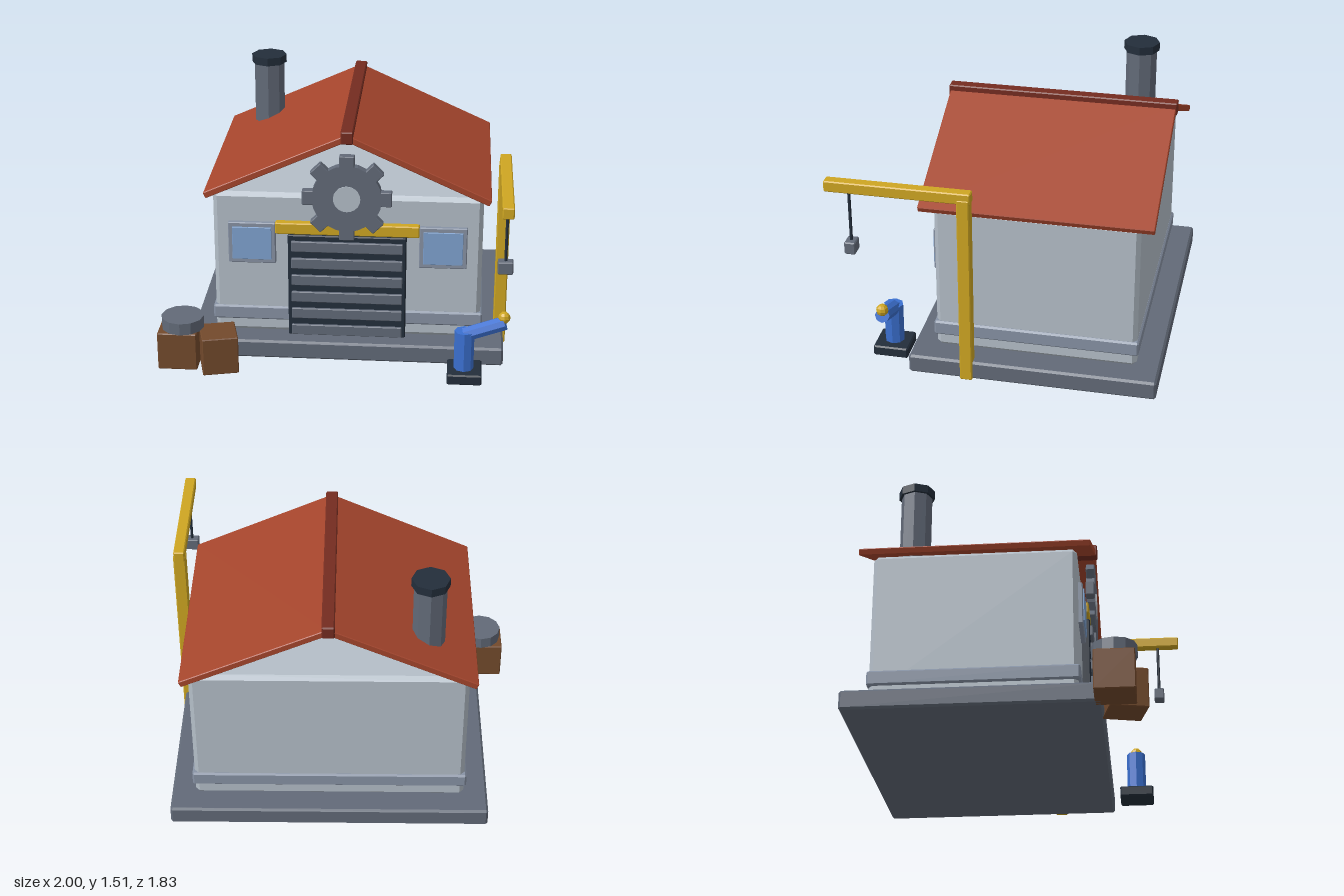
import * as THREE from 'three';
import { ConvexGeometry } from 'three/addons/geometries/ConvexGeometry.js';

const mat = (name, color) => {
  const m = new THREE.MeshStandardMaterial({ color });
  m.name = name;
  return m;
};

// Box with chamfered edges
function chamferBox(w, h, d, c) {
  const pts = [];
  for (const x of [-1, 1]) for (const y of [-1, 1]) for (const z of [-1, 1]) {
    const X = w / 2, Y = h / 2, Z = d / 2;
    pts.push(
      new THREE.Vector3(x * X, y * (Y - c), z * (Z - c)),
      new THREE.Vector3(x * (X - c), y * Y, z * (Z - c)),
      new THREE.Vector3(x * (X - c), y * (Y - c), z * Z));
  }
  return new ConvexGeometry(pts);
}

// Give a geometry faceted normals
function faceted(geo) {
  const g = geo.toNonIndexed();
  g.computeVertexNormals();
  return g;
}

export function createModel() {
  const model = new THREE.Group();
  model.name = 'workshop';

  const steel = mat('steel grey', 0x626a78);
  const wall = mat('pale wall grey', 0xb4bec8);
  const dark = mat('dark navy', 0x232e3b);
  const red = mat('roof red', 0xa5452c);
  const ridgeRed = mat('ridge dark red', 0x742c20);
  const yellow = mat('safety yellow', 0xcea622);
  const glass = mat('window blue', 0x7ea2d0);
  const trim = mat('slate trim', 0x8792a4);
  const blue = mat('robot blue', 0x3b70d0);
  const brown = mat('crate brown', 0x734a2c);

  const add = (name, geo, material, x, y, z, parent = model) => {
    const m = new THREE.Mesh(geo, material);
    m.name = name;
    m.position.set(x, y, z);
    parent.add(m);
    return m;
  };
  const box = (name, material, w, h, d, x, y, z, c = 0.006, parent = model) =>
    add(name, chamferBox(w, h, d, c), material, x, y, z, parent);
  const prism = (name, material, r, h, sides, x, y, z, parent = model) =>
    add(name, faceted(new THREE.CylinderGeometry(r, r, h, sides)), material, x, y, z, parent);

  const cx = 0.063, cz = -0.215; // centre of the building

  // Slab, walls and skirting band
  box('foundation', steel, 1.81, 0.11, 1.395, cx, 0.055, cz, 0.012);
  box('walls', wall, 1.535, 0.87, 1.135, cx, 0.545, cz, 0.024);
  box('skirtingBand', trim, 1.56, 0.086, 1.157, cx, 0.23, cz, 0.01);

  // Roof: two sloping slabs and a ridge beam
  const run = 0.803, rise = 0.363, slope = Math.atan2(rise, run);
  for (const s of [-1, 1]) {
    const slab = box(s < 0 ? 'rightRoofSlab' : 'leftRoofSlab', red,
      Math.hypot(run, rise), 0.037, 1.29, cx + s * run / 2, 1.35 - rise / 2, cz, 0.004);
    slab.rotation.z = -s * slope;
  }
  box('roofRidge', ridgeRed, 0.07, 0.072, 1.306, cx, 1.352, cz, 0.006);

  // Chimney
  prism('chimney', steel, 0.09, 0.5, 8, -0.48, 1.22, -0.585);
  prism('chimneyCap', dark, 0.105, 0.048, 8, -0.48, 1.484, -0.585);

  // Roller door
  box('doorPanel', dark, 0.675, 0.63, 0.055, cx, 0.432, 0.372);
  for (let i = 0; i < 6; i++)
    box('doorSlat', steel, 0.635, 0.063, 0.03, cx, 0.682 - i * 0.105, 0.401, 0.004);
  box('doorLintel', yellow, 0.82, 0.068, 0.055, cx, 0.784, 0.37);

  // Windows
  for (const s of [-1, 1]) {
    const x = cx + s * 0.545;
    box(s < 0 ? 'rightWindowFrame' : 'leftWindowFrame', trim, 0.272, 0.25, 0.04, x, 0.682, 0.358, 0.005);
    box(s < 0 ? 'rightWindowGlass' : 'leftWindowGlass', glass, 0.225, 0.198, 0.009, x, 0.682, 0.381, 0.002);
  }

  // Gear sign over the door
  const gear = new THREE.Group();
  gear.name = 'gearSign';
  gear.position.set(cx, 0.988, 0.4);
  model.add(gear);
  prism('gearBody', steel, 0.198, 0.05, 20, 0, 0, 0, gear).rotation.x = Math.PI / 2;
  for (let i = 0; i < 8; i++) {
    const a = i * Math.PI / 4;
    const tooth = box('gearTooth', steel, 0.085, 0.085, 0.05,
      Math.sin(a) * 0.21, Math.cos(a) * 0.21, 0, 0.004, gear);
    tooth.rotation.z = -a;
  }
  prism('gearHub', wall, 0.077, 0.06, 20, 0, 0, 0, gear).rotation.x = Math.PI / 2;

  // Hoist: post, boom, cable and load
  box('hoistPost', yellow, 0.072, 1.13, 0.07, 0.948, 0.565, 0.15);
  box('hoistBoom', yellow, 0.064, 0.064, 0.807, 0.948, 1.135, 0.513);
  prism('hoistCable', dark, 0.009, 0.31, 6, 0.948, 0.955, 0.784);
  box('hoistLoad', steel, 0.084, 0.072, 0.062, 0.948, 0.772, 0.784);

  // Robot arm
  const rz = 0.625;
  box('robotBase', dark, 0.196, 0.062, 0.2, 0.747, 0.031, rz, 0.008);
  prism('robotColumn', blue, 0.056, 0.24, 8, 0.742, 0.175, rz);
  const from = new THREE.Vector3(0.742, 0.27, rz), to = new THREE.Vector3(0.966, 0.352, rz);
  const dir = to.clone().sub(from);
  const mid = from.clone().add(to).multiplyScalar(0.5);
  const arm = prism('robotForearm', blue, 0.042, dir.length(), 8, mid.x, mid.y, mid.z);
  arm.rotation.z = Math.atan2(dir.y, dir.x) - Math.PI / 2;
  add('robotTip', faceted(new THREE.SphereGeometry(0.035, 8, 6)), yellow, 0.96, 0.385, rz);

  // Crates and a drum
  box('crate', brown, 0.225, 0.225, 0.22, -0.888, 0.1125, 0.55, 0.005);
  box('turnedCrate', brown, 0.205, 0.225, 0.212, -0.657, 0.1125, 0.597, 0.005).rotation.y = 0.24;
  prism('drum', steel, 0.122, 0.07, 12, -0.867, 0.26, 0.55);

  return model;
}
